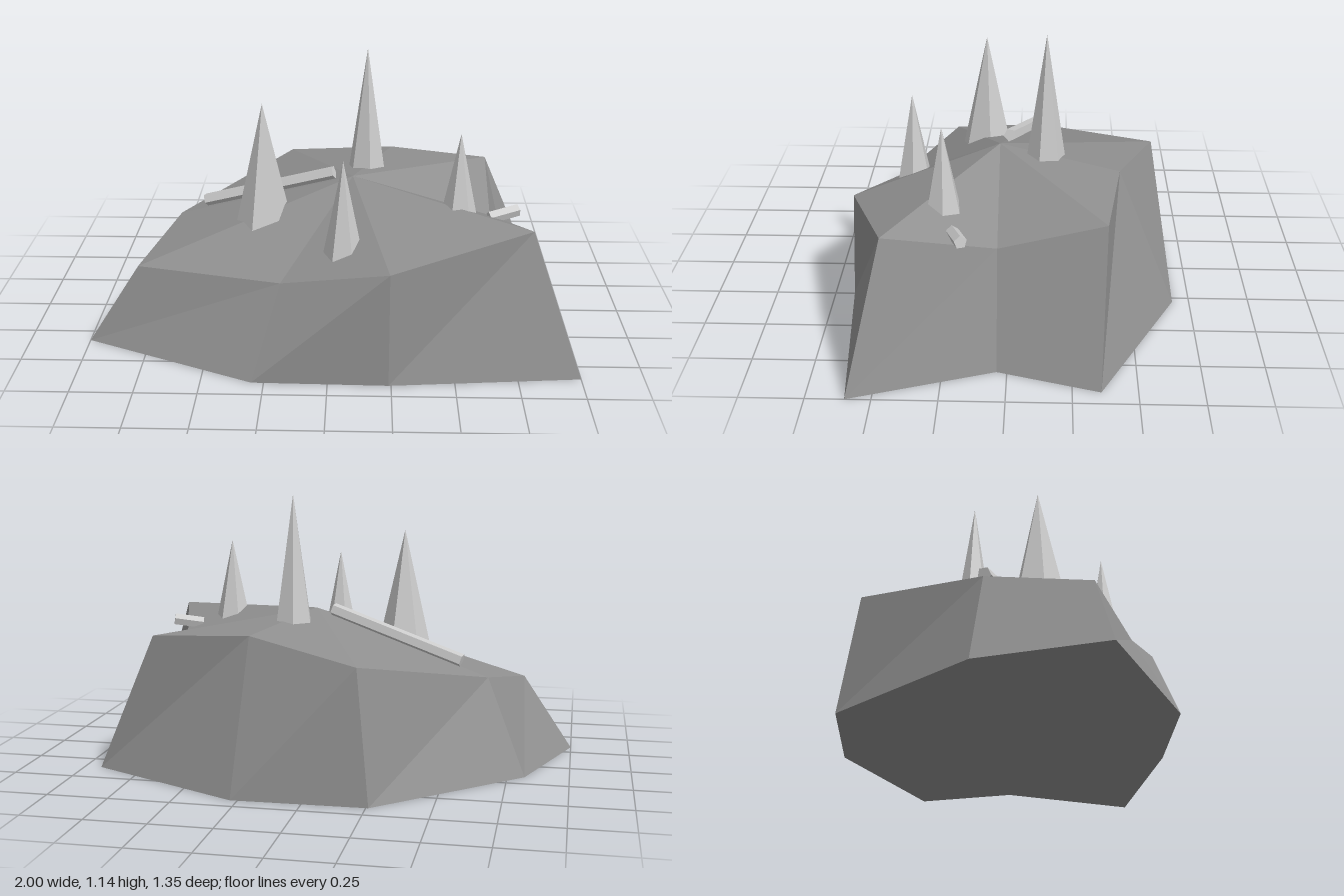
import * as THREE from 'three';

const stone = new THREE.MeshStandardMaterial({ color: 0x909090, flatShading: true });
const pale = new THREE.MeshStandardMaterial({ color: 0xcccccc, flatShading: true });

// Matching corners of the ground outline [x, z] and the upper rim [x, y, z]
const foot = [[-1, 0.33], [-0.82, -0.16], [-0.26, -0.67], [0.28, -0.68], [0.93, -0.36],
  [0.81, 0.04], [1, 0.6], [0.24, 0.67], [-0.3, 0.66]];
const rim = [[-0.79, 0.325, 0.29], [-0.66, 0.4, -0.11], [-0.2, 0.525, -0.6], [0.26, 0.6, -0.44], [0.68, 0.575, -0.38],
  [0.67, 0.465, 0.04], [0.8, 0.575, 0.47], [0.24, 0.465, 0.65], [-0.19, 0.355, 0.5]];

// Faceted mound: fan on top, sloping sides, flat underside
function moundGeometry() {
  const peak = [0.09, 0.64, 0.05], under = [0.09, 0, 0.05];
  const base = foot.map(([x, z]) => [x, 0, z]);
  const points = [];
  for (let i = 0; i < rim.length; i++) {
    const j = (i + 1) % rim.length;
    points.push(peak, rim[j], rim[i]);
    points.push(rim[i], rim[j], base[j], rim[i], base[j], base[i]);
    points.push(under, base[i], base[j]);
  }
  const geometry = new THREE.BufferGeometry();
  geometry.setAttribute('position', new THREE.Float32BufferAttribute(points.flat(), 3));
  geometry.computeVertexNormals();
  return geometry;
}

// Upright six-sided spike sunk into the mound
function spike(x, z, bottom, tip, radius, turn) {
  const mesh = new THREE.Mesh(new THREE.ConeGeometry(radius, tip - bottom, 6), pale);
  mesh.position.set(x, (bottom + tip) / 2, z);
  mesh.rotation.y = THREE.MathUtils.degToRad(turn);
  return mesh;
}

// Five-sided rod between two points
function rod(from, to, radius) {
  const a = new THREE.Vector3(...from), b = new THREE.Vector3(...to);
  const direction = b.clone().sub(a);
  const mesh = new THREE.Mesh(new THREE.CylinderGeometry(radius, radius, direction.length(), 5), pale);
  mesh.position.copy(a).add(b).multiplyScalar(0.5);
  mesh.quaternion.setFromUnitVectors(new THREE.Vector3(0, 1, 0), direction.normalize());
  return mesh;
}

export function createModel() {
  const group = new THREE.Group();
  const add = (name, mesh) => {
    mesh.name = name;
    group.add(mesh);
  };

  add('rockMound', new THREE.Mesh(moundGeometry(), stone));

  // Spikes: x, z, bottom, tip, radius, turn in degrees
  [
    [-0.28, 0.12, 0.45, 0.975, 0.118, 39],
    [0.148, -0.14, 0.5, 1.14, 0.097, 11],
    [0.52, 0.255, 0.5, 0.9, 0.085, 33],
    [0.055, 0.415, 0.42, 0.84, 0.084, 30],
  ].forEach((s, i) => add(`spike${i + 1}`, spike(...s)));

  // Fallen rods
  add('longRod', rod([-0.55, 0.465, -0.105], [0.01, 0.642, 0.012], 0.028));
  add('shortRod', rod([0.65, 0.525, 0.212], [0.77, 0.545, 0.172], 0.026));

  return group;
}
